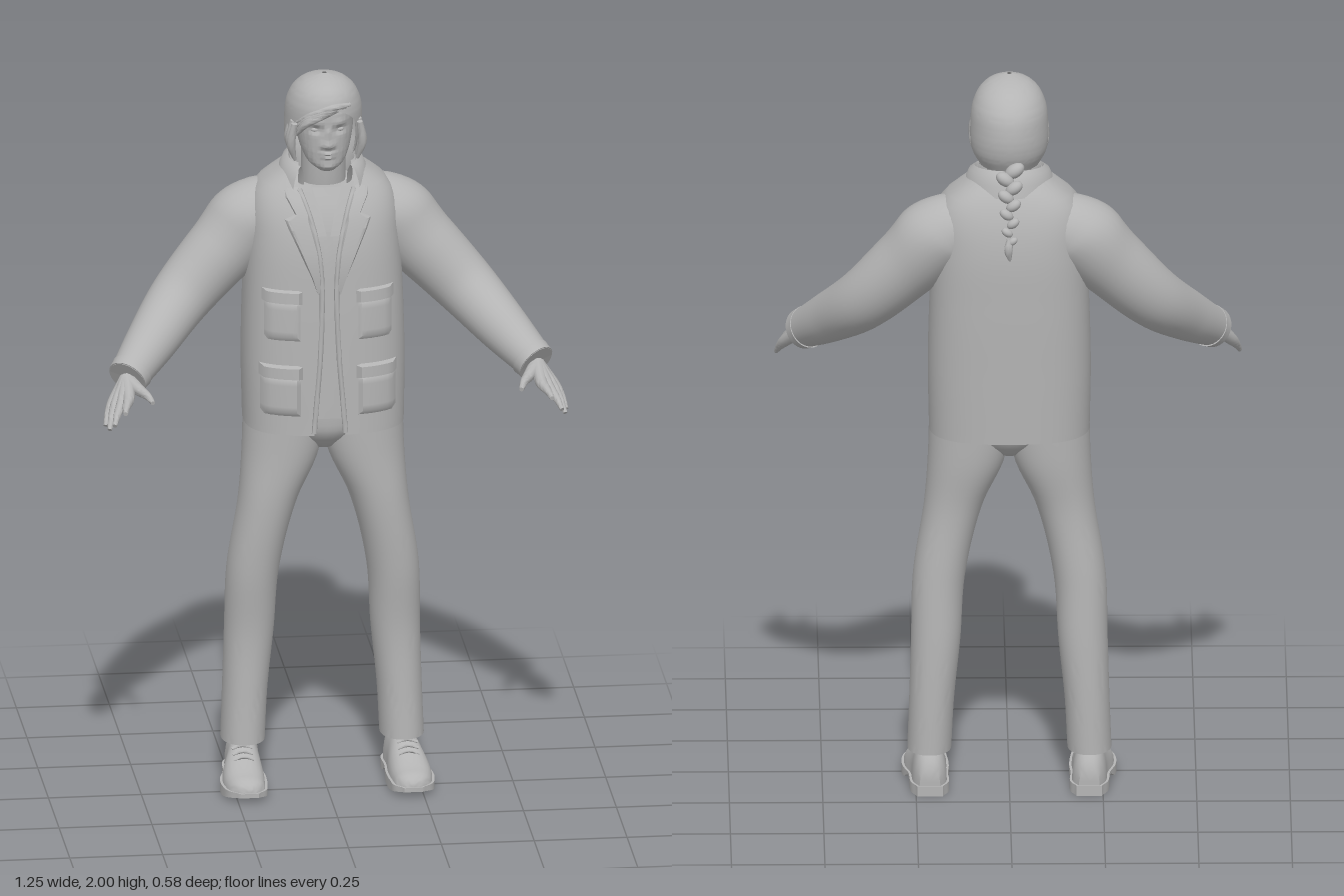
import * as THREE from 'three';
import { toCreasedNormals } from 'three/addons/utils/BufferGeometryUtils.js';

const V = (x, y, z) => new THREE.Vector3(x, y, z);
const clamp = THREE.MathUtils.clamp;
const pow = (v, p) => Math.sign(v) * Math.abs(v) ** p;

// Smooth interpolation of rows [t, a, b, ...] -> t => [a, b, ...]
function track(rows) {
  const size = rows[0].length - 1;
  const curve = new THREE.CubicInterpolant(
    new Float32Array(rows.map(r => r[0])), new Float32Array(rows.flatMap(r => r.slice(1))), size);
  return t => Array.from(curve.evaluate(t));
}

// Skin a list of rings of equal length; cap closes both ends
function skin(rings, cap = false) {
  if (cap) {
    const end = ring => {
      const c = ring.reduce((s, p) => s.add(p), V(0, 0, 0)).divideScalar(ring.length);
      return ring.map(() => c.clone());
    };
    rings = [end(rings[0]), ...rings, end(rings[rings.length - 1])];
  }
  const n = rings[0].length, index = [];
  for (let i = 0; i < rings.length - 1; i++) for (let j = 0; j < n - 1; j++) {
    const a = i * n + j, b = a + n;
    index.push(a, a + 1, b + 1, a, b + 1, b);
  }
  const geo = new THREE.BufferGeometry().setFromPoints(rings.flat());
  geo.setIndex(index);
  return toCreasedNormals(geo, 0.95);
}

const steps = (a, b, n) => Array.from({ length: n + 1 }, (_, i) => a + (b - a) * i / n);

// Horizontal oval ring, a = 0 faces front
function oval(y, [hw, zf, zb], p = 1, cx = 0, from = 0, to = Math.PI * 2, n = 40) {
  return steps(from, to, n).map(a => V(cx + hw * pow(Math.sin(a), p), y,
    (zf + zb) / 2 + (zf - zb) / 2 * pow(Math.cos(a), p)));
}

// Round tapering limb through points with a radius at each
function limb(points, radii, segs = 20, sides = 16) {
  const curve = new THREE.CatmullRomCurve3(points.map(p => V(...p)));
  const radius = track(radii.map((r, i) => [i / (radii.length - 1), r]));
  const { normals, binormals } = curve.computeFrenetFrames(segs);
  return skin(steps(0, 1, segs).map((t, i) => {
    const c = curve.getPoint(t), r = radius(t)[0];
    return steps(0, Math.PI * 2, sides).map(a => c.clone()
      .addScaledVector(normals[i], Math.cos(a) * r).addScaledVector(binormals[i], Math.sin(a) * r));
  }), true);
}

// Jacket body: y, half width, front z, back z
const body = track([
  [1.03, 0.215, 0.067, -0.268], [1.2, 0.218, 0.064, -0.274], [1.4, 0.213, 0.058, -0.28],
  [1.55, 0.205, 0.046, -0.279], [1.63, 0.198, 0.024, -0.266], [1.68, 0.175, 0, -0.248],
  [1.72, 0.125, -0.02, -0.225], [1.75, 0.085, -0.035, -0.195]]);
const bodyPower = 0.75;
const opening = track([[1.03, 0.042], [1.3, 0.022], [1.5, 0.024], [1.62, 0.048], [1.7, 0.075], [1.75, 0.07]]);

function bodyFront(x, y, out = 0) {
  const [hw, zf, zb] = body(y), q = clamp(Math.abs(x) / hw, 0, 1);
  return (zf + zb) / 2 + (zf - zb) / 2 * (1 - q ** (2 / bodyPower)) ** (bodyPower / 2) + out;
}

// Raised panel on the chest from rows [y, inner x, outer x]
function panel(rows, height, cols = 8) {
  return skin(rows.map(([y, x0, x1], i) => steps(x0, x1, cols).map((x, j) => {
    const edge = i === 0 || j === 0 || i === rows.length - 1 || j === cols;
    return V(x, y, bodyFront(x, y, edge ? -0.003 : height));
  })));
}

export function createModel() {
  const model = new THREE.Group();
  const grey = new THREE.MeshStandardMaterial({ color: 0xb4b4b4, side: THREE.DoubleSide });
  grey.name = 'plain grey';
  const add = (parent, name, geo) => {
    const mesh = new THREE.Mesh(geo, grey);
    mesh.name = name;
    parent.add(mesh);
    return mesh;
  };
  const ball = (parent, name, pos, scale, rot = 0) => {
    const m = add(parent, name, new THREE.SphereGeometry(1, 16, 12));
    m.position.set(...pos);
    m.scale.set(...scale);
    m.rotation.z = rot;
  };

  // Jacket shell, open at the front, over a closed shirt
  const gap = (x, hw) => Math.asin(clamp(x / hw, 0, 1) ** (1 / bodyPower));
  add(model, 'jacket', skin(steps(1.03, 1.75, 36).map(y => {
    const b = body(y), g = gap(opening(y)[0], b[0]);
    return oval(y - 0.012 * clamp((1.2 - y) / 0.17, 0, 1), b, bodyPower, 0, g, Math.PI * 2 - g, 56);
  })));
  add(model, 'shirt', skin(steps(1.06, 1.69, 30).map(y => {
    const [w, f, b] = body(y);
    return oval(y, [w - 0.014, f - 0.014, b + 0.014], bodyPower);
  }), true));
  add(model, 'shirtPlacket', skin(steps(1.07, 1.58, 12).map(y =>
    [-0.012, 0, 0.012].map(x => V(x, y, bodyFront(x, y, -0.01))))));

  // Folded collar round the neck
  const fold = [[-0.005, 1.7], [0, 1.755], [0.01, 1.772], [0.024, 1.762], [0.036, 1.735], [0.044, 1.705]];
  add(model, 'collar', skin(fold.map(([r, y]) => steps(0.8, Math.PI * 2 - 0.8, 36).map(a => V(
    (0.083 + r) * Math.sin(a), y - 0.03 * (1 + Math.cos(a)) / 2, -0.105 + (0.092 + r) * Math.cos(a))))));

  // Trousers: waist block joining two legs
  const waist = track([[0.945, 0.035, -0.05, -0.15], [0.99, 0.12, -0.005, -0.2],
    [1.04, 0.18, 0.005, -0.21], [1.1, 0.19, 0.005, -0.21]]);
  add(model, 'waist', skin(steps(0.945, 1.1, 10).map(y => oval(y, waist(y))), true));

  // One side of the body, mirrored for the other
  const side = new THREE.Group();
  side.name = 'leftSide';

  const leg = track([[0.115, 0.214, 0.059, -0.036, -0.203], [0.25, 0.208, 0.06, -0.042, -0.203],
    [0.42, 0.197, 0.066, -0.042, -0.2], [0.6, 0.188, 0.07, -0.02, -0.192], [0.8, 0.149, 0.079, -0.002, -0.188],
    [0.93, 0.115, 0.103, 0.002, -0.203], [1.08, 0.106, 0.108, 0.004, -0.21]]);
  add(side, 'trouserLeg', skin(steps(0.115, 1.08, 36).map(y => {
    const [cx, ...r] = leg(y);
    return oval(y, r, 0.92, cx);
  }), true));

  // Shoe upper, lofted from heel to toe: z, centre x, half width, top
  const shoe = track([[-0.2, 0.213, 0.028, 0.075], [-0.17, 0.213, 0.043, 0.12], [-0.09, 0.217, 0.047, 0.125],
    [-0.03, 0.223, 0.056, 0.092], [0.04, 0.225, 0.054, 0.066], [0.085, 0.222, 0.042, 0.055], [0.107, 0.22, 0.018, 0.04]]);
  add(side, 'shoeUpper', skin(steps(-0.2, 0.107, 26).map(z => {
    const [cx, hw, top] = shoe(z);
    return steps(0, Math.PI * 2, 24).map(a => V(cx + hw * pow(Math.cos(a), 0.8),
      0.02 + (top - 0.02) * Math.max(0, Math.sin(a)) ** 0.85, z));
  }), true));
  const lift = z => z > 0.03 ? (z - 0.03) * 0.2 : 0.02 * Math.exp(-(((z + 0.085) / 0.03) ** 2));
  add(side, 'shoeSole', skin(steps(-0.204, 0.111, 30).map(z => {
    const [cx, hw] = shoe(clamp(z, -0.2, 0.107)), w = hw + 0.006, y = lift(z);
    return [[-w, y], [w, y], [w, 0.028], [-w, 0.028], [-w, y]].map(([x, h]) => V(cx + x, h, z));
  }), true));
  for (const [z, y] of [[-0.055, 0.105], [-0.035, 0.095], [-0.015, 0.086]])
    add(side, 'shoeLace', limb([[0.195, y - 0.004, z], [0.222, y + 0.003, z], [0.25, y - 0.004, z]], [0.004, 0.004, 0.004], 6, 8));

  // Sleeve with a cuff, then the hand
  add(side, 'sleeve', limb(
    [[0.09, 1.595, -0.145], [0.18, 1.577, -0.143], [0.27, 1.49, -0.128], [0.385, 1.372, -0.085],
      [0.475, 1.285, 0.015], [0.55, 1.217, 0.11]],
    [0.085, 0.107, 0.096, 0.083, 0.069, 0.052], 40, 28));
  add(side, 'cuff', limb([[0.536, 1.229, 0.092], [0.55, 1.217, 0.11]], [0.058, 0.055], 3, 28));
  const fingers = {
    index: [[0.556, 1.186, 0.195], [0.568, 1.179, 0.243], [0.574, 1.172, 0.278]],
    middle: [[0.573, 1.177, 0.192], [0.591, 1.157, 0.235], [0.602, 1.136, 0.268]],
    ring: [[0.588, 1.169, 0.182], [0.604, 1.143, 0.218], [0.613, 1.118, 0.245]],
    little: [[0.598, 1.162, 0.168], [0.612, 1.138, 0.192], [0.62, 1.118, 0.21]],
    thumb: [[0.525, 1.2, 0.165], [0.506, 1.195, 0.205], [0.496, 1.187, 0.24]],
  };
  for (const [name, pts] of Object.entries(fingers))
    add(side, name + 'Finger', limb([[0.552, 1.214, 0.113], ...pts], [0.021, 0.016, 0.0105, 0.006], 16, 12));

  // Lapel, front edge and pockets
  add(side, 'lapel', panel([[1.4, 0.022, 0.028], [1.46, 0.022, 0.048], [1.53, 0.026, 0.08], [1.59, 0.04, 0.108],
    [1.615, 0.046, 0.118], [1.63, 0.05, 0.09], [1.67, 0.064, 0.112], [1.705, 0.075, 0.118]], 0.011));
  add(side, 'jacketEdge', limb(steps(1.025, 1.69, 10).map(y => {
    const t = Math.max(y, 1.03), x = opening(t)[0];
    return [x, y, bodyFront(x, t)];
  }), [0.007, 0.007, 0.007], 30, 8));
  const pocket = (name, y0, y1, x0, x1, h) =>
    add(side, name, panel(steps(y0, y1, 8).map(y => [y, x0, x1]), h));
  pocket('lowerPocket', 1.07, 1.19, 0.075, 0.185, 0.012);
  pocket('lowerPocketFlap', 1.175, 1.215, 0.07, 0.188, 0.018);
  pocket('chestPocket', 1.28, 1.4, 0.075, 0.175, 0.009);
  pocket('chestPocketFlap', 1.385, 1.425, 0.07, 0.18, 0.014);

  // Shirt collar flap
  add(side, 'shirtCollar', skin([[1.57, 0.005, 0.03], [1.63, 0.018, 0.06], [1.7, 0.042, 0.08]].map(([y, a, b]) =>
    steps(a, b, 4).map(x => V(x, y, bodyFront(x, y, -0.005))))));

  const other = side.clone();
  other.name = 'rightSide';
  other.scale.x = -1;
  model.add(side, other);

  // Head with features raised as soft bumps: x, y, spread x, spread y, height
  const head = new THREE.Group();
  head.name = 'head';
  model.add(head);
  add(head, 'neck', limb([[0, 1.58, -0.125], [0, 1.7, -0.095], [0, 1.82, -0.085]], [0.068, 0.06, 0.06]));
  const skull = track([[1.747, 0.022, 0.012, -0.04], [1.762, 0.045, 0.021, -0.09], [1.79, 0.062, 0.024, -0.14],
    [1.83, 0.073, 0.025, -0.17], [1.87, 0.078, 0.026, -0.185], [1.92, 0.077, 0.024, -0.18], [1.97, 0.05, -0.02, -0.13]]);
  const bumps = [[0, 1.826, 0.011, 0.012, 0.024], [0, 1.85, 0.008, 0.02, 0.012], [0.013, 1.822, 0.008, 0.007, 0.008],
    [-0.013, 1.822, 0.008, 0.007, 0.008], [0, 1.8, 0.018, 0.005, 0.009], [0, 1.788, 0.016, 0.005, 0.008],
    [0, 1.76, 0.018, 0.01, 0.006], [0.032, 1.864, 0.015, 0.009, -0.01], [-0.032, 1.864, 0.015, 0.009, -0.01],
    [0.032, 1.885, 0.02, 0.007, 0.005], [-0.032, 1.885, 0.02, 0.007, 0.005]];
  add(head, 'face', skin(steps(1.747, 1.97, 56).map(y => oval(y, skull(y), 0.9, 0, 0, Math.PI * 2, 88).map(p => {
    if (p.z > -0.05) for (const [x, by, sx, sy, h] of bumps)
      p.z += h * Math.exp(-(((p.x - x) / sx) ** 2) - ((y - by) / sy) ** 2);
    return p;
  })), true));
  for (const s of [1, -1]) ball(head, 'eye', [s * 0.032, 1.863, 0.004], [0.013, 0.007, 0.01]);

  // Hair shell with a lopsided opening for the face
  const hair = track([[1.765, 0.08, -0.01, -0.195], [1.8, 0.099, 0.015, -0.214], [1.87, 0.104, 0.036, -0.221],
    [1.93, 0.096, 0.036, -0.203], [1.97, 0.072, 0.012, -0.16], [1.99, 0.042, -0.022, -0.115], [2, 0.006, -0.055, -0.07]]);
  const part = track([[1.765, 0.074, 0.079], [1.8, 0.08, 0.086], [1.86, 0.078, 0.078],
    [1.89, 0.07, 0.05], [1.915, 0.04, 0.005], [1.93, 0, 0], [2, 0, 0]]);
  add(head, 'hair', skin(steps(1.765, 2, 34).map(y => {
    const r = hair(y), [l, m] = part(y).map(x => Math.asin(clamp(x / r[0], 0, 1)));
    return oval(y, r, 1, 0, l, Math.PI * 2 - m, 48);
  })));
  for (let i = 0; i < 4; i++)
    add(head, 'fringeLock', limb([[0.06 - i * 0.012, 1.935 - i * 0.006, 0.02], [0.01 - i * 0.01, 1.93 - i * 0.008, 0.031],
      [-0.045 - i * 0.004, 1.908 - i * 0.008, 0.02], [-0.08, 1.88 - i * 0.012, -0.012]], [0.005, 0.01, 0.01, 0.004], 14, 10));
  for (const s of [1, -1]) for (let i = 0; i < 3; i++)
    add(head, 'sideLock', limb([[s * 0.088, 1.88, 0.002 - i * 0.03], [s * 0.096, 1.82, -0.008 - i * 0.03],
      [s * 0.084, 1.77, -0.02 - i * 0.032]], [0.008, 0.012, 0.004], 10, 10));

  // Braid down the back, narrowing to a tail
  const braid = track([[0, 1.775, -0.212], [0.4, 1.71, -0.252], [1, 1.6, -0.284]]);
  for (let i = 0; i < 9; i++) {
    const [y, z] = braid(i / 8), s = i % 2 ? 1 : -1, k = 1 - i * 0.06;
    ball(head, 'braidStrand', [s * 0.013 * k, y, z], [0.029 * k, 0.019 * k, 0.022 * k], s * 0.6);
  }
  add(head, 'braidTail', limb([[0, 1.605, -0.283], [0.004, 1.575, -0.287], [0, 1.545, -0.285]], [0.009, 0.012, 0.003], 8, 10));

  return model;
}
